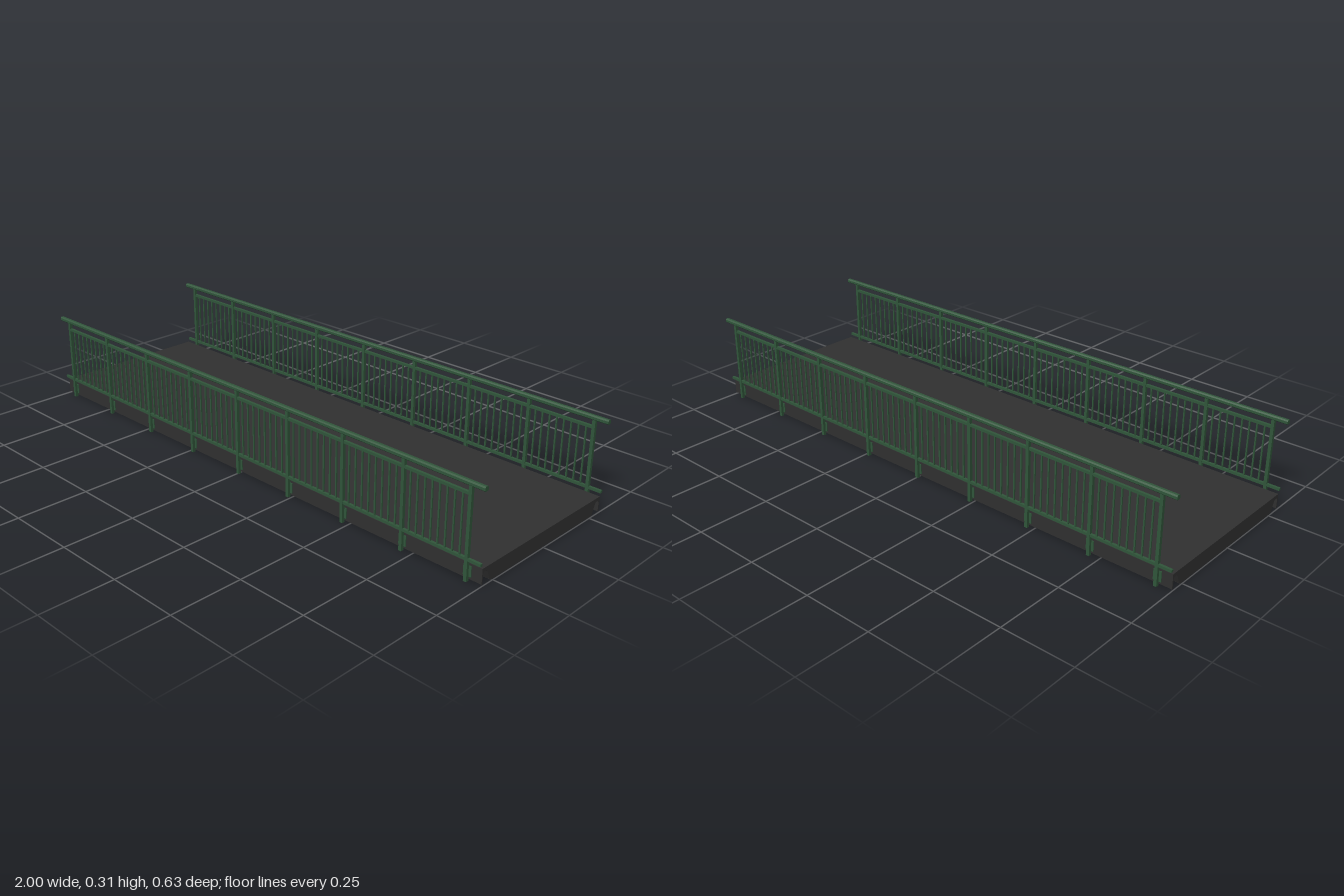
import * as THREE from 'three';

export function createModel() {
  const root = new THREE.Group();
  root.name = 'footbridge';
  const concrete = new THREE.MeshStandardMaterial({ color: 0x303030 });
  concrete.name = 'dark concrete';
  const green = new THREE.MeshStandardMaterial({ color: 0x30553a });
  green.name = 'green paint';

  // Extrude a (z, y) section along the whole length of the bridge
  function alongX(name, shape, length, material) {
    const geo = new THREE.ExtrudeGeometry(shape, { depth: length, bevelEnabled: false, curveSegments: 4 });
    geo.translate(0, 0, -length / 2).rotateY(-Math.PI / 2);
    const mesh = new THREE.Mesh(geo, material);
    mesh.name = name;
    return mesh;
  }

  // Deck: trough-shaped slab with thin lips hanging at both edges
  const half = [[0.26, 0.004], [0.264, 0.007], [0.278, 0.041], [0.282, 0.045], [0.294, 0.045],
    [0.298, 0.041], [0.298, 0.006], [0.302, 0.006], [0.302, 0.057]];
  const outline = [...half, ...half.map(([z, y]) => [-z, y]).reverse()];
  const deckShape = new THREE.Shape(outline.map(([z, y]) => new THREE.Vector2(z, y)));
  root.add(alongX('deck', deckShape, 2, concrete));

  // Handrail section: chamfered at the top and bottom corners
  const railShape = new THREE.Shape([[-0.005, 0], [0.005, 0], [0.008, 0.003], [0.008, 0.011],
    [0.004, 0.015], [-0.004, 0.015], [-0.008, 0.011], [-0.008, 0.003]]
    .map(([z, y]) => new THREE.Vector2(z, y)));

  const bays = 8, perBay = 8, span = 1.9, bay = span / bays;

  function createRailing() {
    const g = new THREE.Group();
    const box = (name, w, h, d, x, y, z = 0) => {
      const m = new THREE.Mesh(new THREE.BoxGeometry(w, h, d), green);
      m.name = name;
      m.position.set(x, y, z);
      g.add(m);
    };
    const handrail = alongX('handrail', railShape, 2, green);
    handrail.position.y = 0.3;
    g.add(handrail);
    box('upperRail', span, 0.009, 0.009, 0, 0.275);
    box('lowerRail', 2, 0.009, 0.009, 0, 0.071);

    for (let i = 0; i <= bays; i++) {
      const x = -span / 2 + i * bay;
      box('post', 0.011, 0.302, 0.011, x, 0.151);
      // Mounting plate against the deck edge, with bolt strips
      box('mountingPlate', 0.028, 0.036, 0.004, x, 0.032, -0.006);
      if (i === bays) break;
      for (let j = 1; j <= perBay; j++) {
        box('baluster', 0.005, 0.204, 0.005, x + (j * bay) / (perBay + 1), 0.173);
      }
    }
    return g;
  }

  // Matching railings on both sides
  for (const side of [1, -1]) {
    const railing = createRailing();
    railing.name = side > 0 ? 'frontRailing' : 'backRailing';
    railing.position.z = side * 0.3085;
    if (side < 0) railing.rotation.y = Math.PI;
    root.add(railing);
  }
  return root;
}
